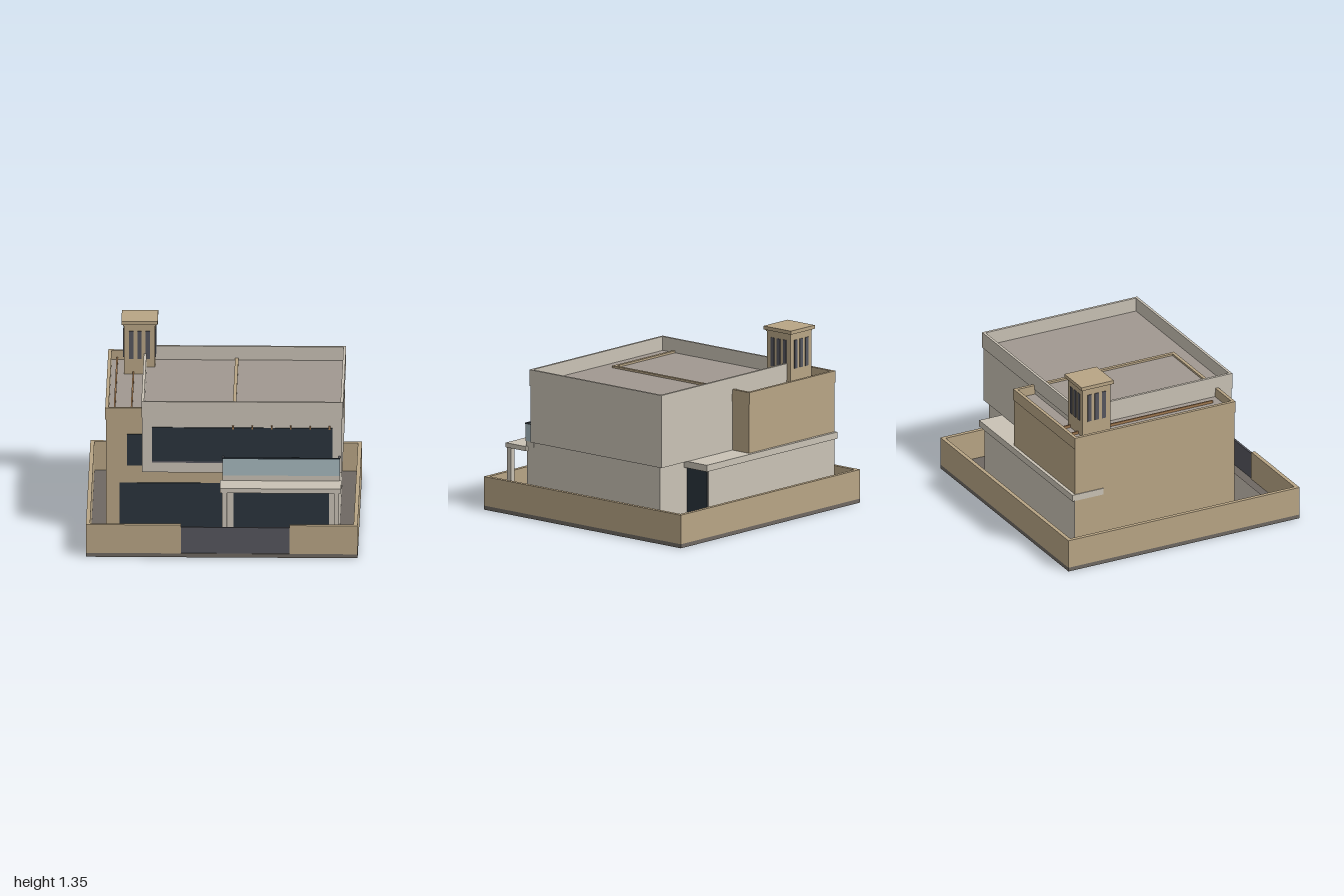
import * as THREE from 'three';

const mat = (color, extra = {}) => new THREE.MeshStandardMaterial({ color, ...extra });

export function createModel() {
  const house = new THREE.Group();
  house.name = 'house';

  const tan = mat(0xb8a585), white = mat(0xc9c2b5), dark = mat(0x2a343c);
  const roof = mat(0xa09890), ground = mat(0x6e6862), deck = mat(0x78726b);
  const metal = mat(0x55565e), glass = mat(0xa6b8be), wood = mat(0xa07850);

  // Box given by its limits on each axis
  const box = (name, m, [x0, x1], [y0, y1], [z0, z1], parent = house) => {
    const mesh = new THREE.Mesh(new THREE.BoxGeometry(x1 - x0, y1 - y0, z1 - z0), m);
    mesh.position.set((x0 + x1) / 2, (y0 + y1) / 2, (z0 + z1) / 2);
    mesh.name = name;
    parent.add(mesh);
    return mesh;
  };

  // Rectangular ring of wall with an open middle
  const ring = (name, m, [x0, x1], [y0, y1], [z0, z1], t) => {
    const rect = (S, i) => new S([
      new THREE.Vector2(x0 + i, -z1 + i), new THREE.Vector2(x1 - i, -z1 + i),
      new THREE.Vector2(x1 - i, -z0 - i), new THREE.Vector2(x0 + i, -z0 - i)]);
    const shape = rect(THREE.Shape, 0);
    shape.holes.push(rect(THREE.Path, t));
    const g = new THREE.ExtrudeGeometry(shape, { depth: y1 - y0, bevelEnabled: false });
    const mesh = new THREE.Mesh(g.rotateX(-Math.PI / 2).translate(0, y0, 0), m);
    mesh.name = name;
    house.add(mesh);
  };

  // Plot, garden walls and gate
  const wallY = [0.03, 0.25];
  box('plot', ground, [-1, 1], [0, 0.03], [-0.965, 0.965]);
  for (const s of [-1, 1]) {
    const x = [s * 0.985 - 0.015, s * 0.985 + 0.015];
    box('sideGardenWall', tan, x, wallY, [-0.965, 0.965]);
  }
  box('backGardenWall', tan, [-0.97, 0.97], wallY, [-0.965, -0.935]);
  box('frontGardenWallRight', tan, [-0.97, -0.3], wallY, [0.935, 0.965]);
  box('frontGardenWallLeft', tan, [0.5, 0.97], wallY, [0.935, 0.965]);
  box('gate', metal, [-0.3, 0.5], [0.03, 0.23], [0.942, 0.958]);
  box('terrace', deck, [-0.865, -0.135], [0.03, 0.05], [0.5, 0.855]);

  // Sand-coloured wing with roof, parapet and roof battens
  box('wing', tan, [-0.86, 0.09], [0.03, 0.92], [-0.835, 0.495]);
  box('wingRoof', roof, [-0.845, 0.075], [0.92, 0.93], [-0.82, 0.48]);
  ring('wingParapet', tan, [-0.866, 0.096], [0.91, 1.0], [-0.841, 0.501], 0.025);
  for (const x of [-0.8, -0.675, -0.55])
    box('roofBatten', wood, [x - 0.006, x + 0.006], [0.93, 0.95], [-0.815, 0.41]);
  box('wingLowerWindow', dark, [-0.76, 0], [0.06, 0.42], [0.49, 0.503]);
  box('wingUpperWindow', dark, [-0.705, -0.5], [0.555, 0.795], [0.49, 0.503]);

  // Low rear annex with a glazed end
  box('annex', white, [-0.855, 0.55], [0.03, 0.49], [-0.838, -0.6]);
  box('annexGlass', dark, [0.545, 0.556], [0.05, 0.49], [-0.832, -0.635]);
  box('annexRoof', white, [-0.866, 0.59], [0.49, 0.54], [-0.86, -0.6]);

  // Ground floor of the pale block
  box('groundFloor', white, [0, 0.857], [0.03, 0.54], [-0.637, 0.667]);
  box('entranceWindow', dark, [0.08, 0.785], [0.05, 0.435], [0.66, 0.674]);

  // Projecting upper floor with roof and parapet
  box('upperFloor', white, [-0.592, 0.88], [0.54, 0.975], [-0.67, 0.612]);
  box('upperRoof', roof, [-0.58, 0.87], [0.975, 0.985], [-0.66, 0.6]);
  ring('upperParapet', white, [-0.598, 0.888], [0.967, 1.09], [-0.676, 0.618], 0.02);
  box('upperWindow', dark, [-0.52, 0.81], [0.63, 0.89], [0.6, 0.622]);
  box('windowSill', metal, [-0.52, 0.81], [0.618, 0.633], [0.6, 0.622]);
  for (let i = 0; i < 6; i++) {
    const x = 0.077 + i * 0.142;
    box('beamEnd', wood, [x - 0.006, x + 0.006], [0.882, 0.907], [0.6, 0.628]);
  }

  // Balcony with glass railing and dark handrail
  box('balconySlab', white, [0, 0.86], [0.5, 0.54], [0.6, 0.677]);
  box('balconyGlassFront', glass, [0, 0.865], [0.54, 0.668], [0.667, 0.677]);
  box('handrailFront', dark, [-0.002, 0.867], [0.668, 0.676], [0.664, 0.68]);
  for (const x of [0, 0.855]) {
    box('balconyGlassSide', glass, [x, x + 0.01], [0.54, 0.668], [0.612, 0.667]);
    box('handrailSide', metal, [x - 0.002, x + 0.012], [0.668, 0.673], [0.612, 0.664]);
  }

  // Entrance canopy on posts
  box('canopy', white, [-0.016, 0.876], [0.465, 0.5], [0.66, 0.86]);
  for (const x of [0, 0.823])
    box('canopyPost', white, [x, x + 0.038], [0.03, 0.465], [0.82, 0.858]);

  // Wind tower with three slots on each side
  const tower = new THREE.Group();
  tower.name = 'windTower';
  tower.position.set(-0.63, 0, -0.595);
  house.add(tower);
  box('towerShaft', tan, [-0.115, 0.115], [0.9, 1.315], [-0.115, 0.115], tower);
  box('towerCollar', tan, [-0.12, 0.12], [1.305, 1.318], [-0.12, 0.12], tower);
  box('towerCap', tan, [-0.134, 0.134], [1.318, 1.345], [-0.134, 0.134], tower);
  for (let side = 0; side < 4; side++) {
    const slots = new THREE.Group();
    slots.name = 'towerSlots';
    slots.rotation.y = side * Math.PI / 2;
    tower.add(slots);
    for (const x of [-0.06, 0, 0.06])
      box('slot', metal, [x - 0.016, x + 0.016], [1.05, 1.265], [0.1, 0.121], slots);
  }
  return house;
}
